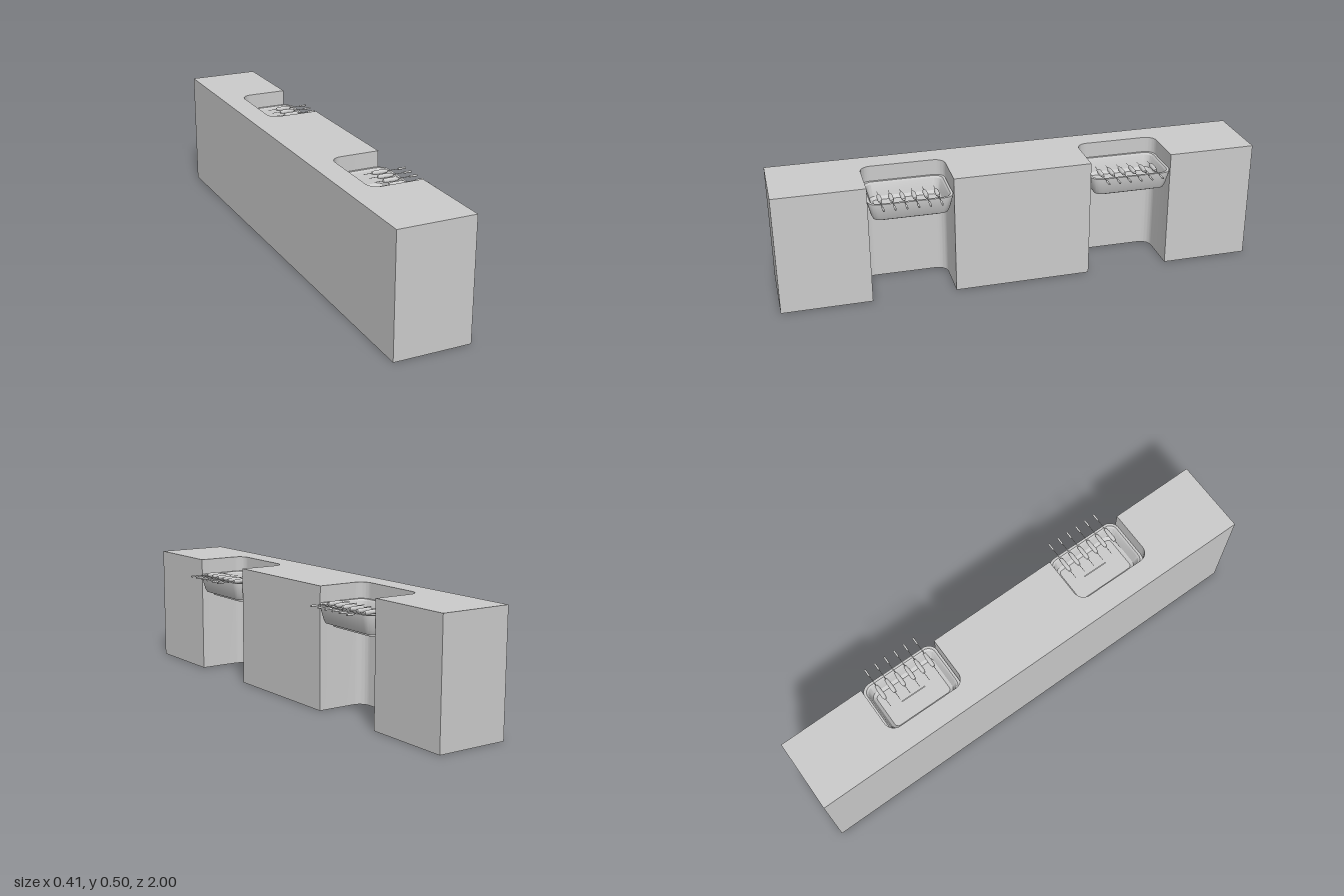
import * as THREE from 'three';
import { toCreasedNormals } from 'three/addons/utils/BufferGeometryUtils.js';

const H = 0.5;
const grey = new THREE.MeshStandardMaterial({ color: 0xcccccc, side: THREE.DoubleSide });

function named(geometry, name) {
  const mesh = new THREE.Mesh(geometry, grey);
  mesh.name = name;
  return mesh;
}

// Skin of quads through a list of closed loops of Vector3, first loop lowest
function skin(loops, crease) {
  const pos = [];
  for (let k = 0; k + 1 < loops.length; k++) {
    const lo = loops[k], hi = loops[k + 1], n = lo.length;
    for (let i = 0; i < n; i++) {
      const j = (i + 1) % n;
      for (const p of [lo[i], lo[j], hi[j], lo[i], hi[j], hi[i]]) pos.push(p.x, p.y, p.z);
    }
  }
  const g = new THREE.BufferGeometry();
  g.setAttribute('position', new THREE.Float32BufferAttribute(pos, 3));
  return toCreasedNormals(g, crease);
}

// Slightly tapered block footprint (shape y is -z) with two rounded bays on the left side
function footprint(bays) {
  const half = 0.173, r = 0.045;
  const edge = z => 0.1075 + 0.0105 * z;
  const s = new THREE.Shape();
  s.moveTo(-0.197, -1);
  s.lineTo(edge(1), -1);
  for (const { z, back } of bays) {
    const y0 = -z - half, y1 = -z + half;
    s.lineTo(edge(-y0), y0);
    s.lineTo(back + r, y0);
    s.absarc(back + r, y0 + r, r, -Math.PI / 2, -Math.PI, true);
    s.lineTo(back, y1 - r);
    s.absarc(back + r, y1 - r, r, Math.PI, Math.PI / 2, true);
    s.lineTo(edge(-y1), y1);
  }
  s.lineTo(edge(-1), 1);
  s.lineTo(-0.205, 1);
  s.closePath();
  return s;
}

// Rounded rectangle loop at height y
function roundedLoop(hx, hz, r, y) {
  const loop = [];
  [[1, 1], [-1, 1], [-1, -1], [1, -1]].forEach(([sx, sz], q) => {
    for (let i = 0; i <= 6; i++) {
      const a = (q + i / 6) * Math.PI / 2;
      loop.push(new THREE.Vector3(
        sx * (hx - r) + r * Math.cos(a), y, -(sz * (hz - r) + r * Math.sin(a))));
    }
  });
  return loop;
}

// Shallow basin with rim and foot: [inset, y] from the underside, round the rim, to the inner floor
function trayGeometry() {
  const profile = [
    [0.116, 0.346], [0.047, 0.346], [0.045, 0.36], [0.02, 0.36], [0.013, 0.376],
    [0, 0.43], [0, 0.435], [0.01, 0.435], [0.016, 0.428], [0.028, 0.378],
    [0.04, 0.367], [0.116, 0.367],
  ];
  const loops = profile.map(([d, y]) =>
    roundedLoop(0.117 - d, 0.171 - d, Math.max(0.04 - d * 0.6, 0.0005), y));
  return skin(loops, 0.5);
}

// Slim turned tool lying along x: thin shaft, thick grip, small end piece
function toolGeometry() {
  const profile = [
    [0, 0], [0.001, 0], [0.001, 0.034], [0.006, 0.037], [0.009, 0.05], [0.009, 0.085],
    [0.006, 0.103], [0.0012, 0.106], [0.0012, 0.15], [0.004, 0.152], [0.004, 0.184], [0, 0.186],
  ].map(p => new THREE.Vector2(...p));
  return toCreasedNormals(new THREE.LatheGeometry(profile, 12).rotateZ(-Math.PI / 2), 0.6);
}

export function createModel() {
  const model = new THREE.Group();
  model.name = 'counter';
  const bays = [
    { z: 0.457, back: -0.1, toolX: 0.014, name: 'front' },
    { z: -0.46, back: -0.107, toolX: 0, name: 'rear' },
  ];

  // Counter block, open underneath
  const shape = footprint(bays);
  const outline = shape.getPoints(8);
  if (outline[0].distanceTo(outline[outline.length - 1]) < 1e-6) outline.pop();
  const level = y => outline.map(p => new THREE.Vector3(p.x, y, -p.y));
  model.add(named(skin([level(0), level(H)], 0.5), 'counterWalls'));
  const top = new THREE.ShapeGeometry(shape, 8).rotateX(-Math.PI / 2).translate(0, H, 0);
  model.add(named(top, 'counterTop'));

  // A tray with six tools in each bay
  const tray = trayGeometry(), tool = toolGeometry();
  for (const { z, back, toolX, name } of bays) {
    const station = new THREE.Group();
    station.name = name + 'Station';
    const basin = named(tray, 'tray');
    basin.position.set(back + 0.118, 0, z);
    station.add(basin);
    for (let i = 0; i < 6; i++) {
      const t = named(tool, 'tool');
      t.position.set(toolX, 0.437, z + 0.006 + (i - 2.5) * 0.046);
      station.add(t);
    }
    model.add(station);
  }
  return model;
}
